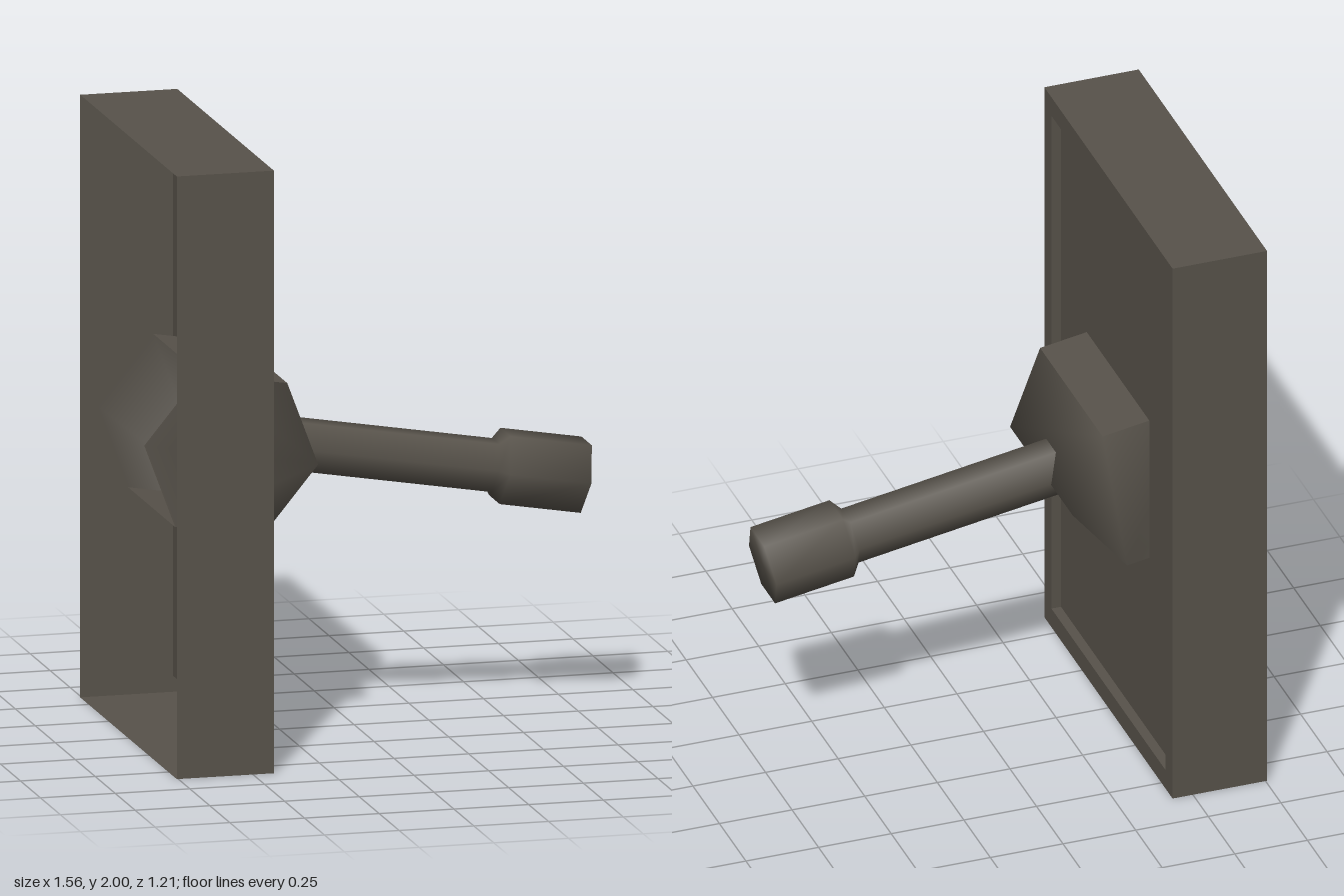
import * as THREE from 'three';

const TILT = THREE.MathUtils.degToRad(-9.5);
const PIVOT = [-0.49, 0.99];

// Geometry from points and quads/triangles (polygons as index loops, fanned)
function polyGeometry(points, polygons, flat) {
  const index = [];
  for (const p of polygons)
    for (let i = 1; i < p.length - 1; i++) index.push(p[0], p[i], p[i + 1]);
  let g = new THREE.BufferGeometry();
  g.setAttribute('position', new THREE.Float32BufferAttribute(points.flat(), 3));
  g.setIndex(index);
  if (flat) g = g.toNonIndexed();
  g.computeVertexNormals();
  return g;
}

// Rectangle loop facing +x
const rect = (x, halfZ, y0, y1) => [[x, y0, halfZ], [x, y0, -halfZ], [x, y1, -halfZ], [x, y1, halfZ]];

export function createModel() {
  const model = new THREE.Group();
  const metal = new THREE.MeshStandardMaterial({ color: 0x57524a, side: THREE.DoubleSide });
  metal.name = 'dark grey metal';
  const add = (name, geometry) => {
    const mesh = new THREE.Mesh(geometry, metal);
    mesh.name = name;
    model.add(mesh);
    return mesh;
  };

  // Wall plate: open-backed shell with a raised rim around a recessed panel
  const loops = [
    rect(-0.755, 0.605, 0, 2),
    rect(-0.43, 0.605, 0, 2),
    rect(-0.43, 0.538, 0.07, 1.93),
    rect(-0.463, 0.538, 0.07, 1.93),
  ];
  const quads = [[12, 13, 14, 15]];
  for (let i = 0; i < 3; i++)
    for (let j = 0; j < 4; j++) {
      const k = (j + 1) % 4;
      quads.push([i * 4 + j, i * 4 + k, i * 4 + 4 + k, i * 4 + 4 + j]);
    }
  add('wallPlate', polyGeometry(loops.flat(), quads, true));

  // Six-sided pivot drum, open at the back
  const drum = [];
  for (const z of [0.295, -0.295])
    for (let k = 0; k < 6; k++) {
      const a = TILT + (k * Math.PI) / 3;
      drum.push([PIVOT[0] + 0.295 * Math.cos(a), PIVOT[1] + 0.295 * Math.sin(a), z]);
    }
  const side = (k) => [k, k + 6, ((k + 1) % 6) + 6, (k + 1) % 6];
  add('pivotDrum', polyGeometry(drum, [[0, 1, 2, 3, 4, 5], [11, 10, 9, 8, 7, 6], side(5), side(0)], false));
  add('pivotDrumTopAndBottom', polyGeometry(drum, [side(1), side(4)], true));

  // Six-sided lever with a thicker grip
  const profile = [[0.092, -0.05], [0.092, 0.963], [0.13, 0.992], [0.13, 1.267], [0, 1.267]];
  const lever = add('lever', new THREE.LatheGeometry(profile.map((p) => new THREE.Vector2(...p)), 6));
  lever.position.set(PIVOT[0], PIVOT[1] + 0.003, 0);
  lever.rotation.z = TILT - Math.PI / 2;

  return model;
}
